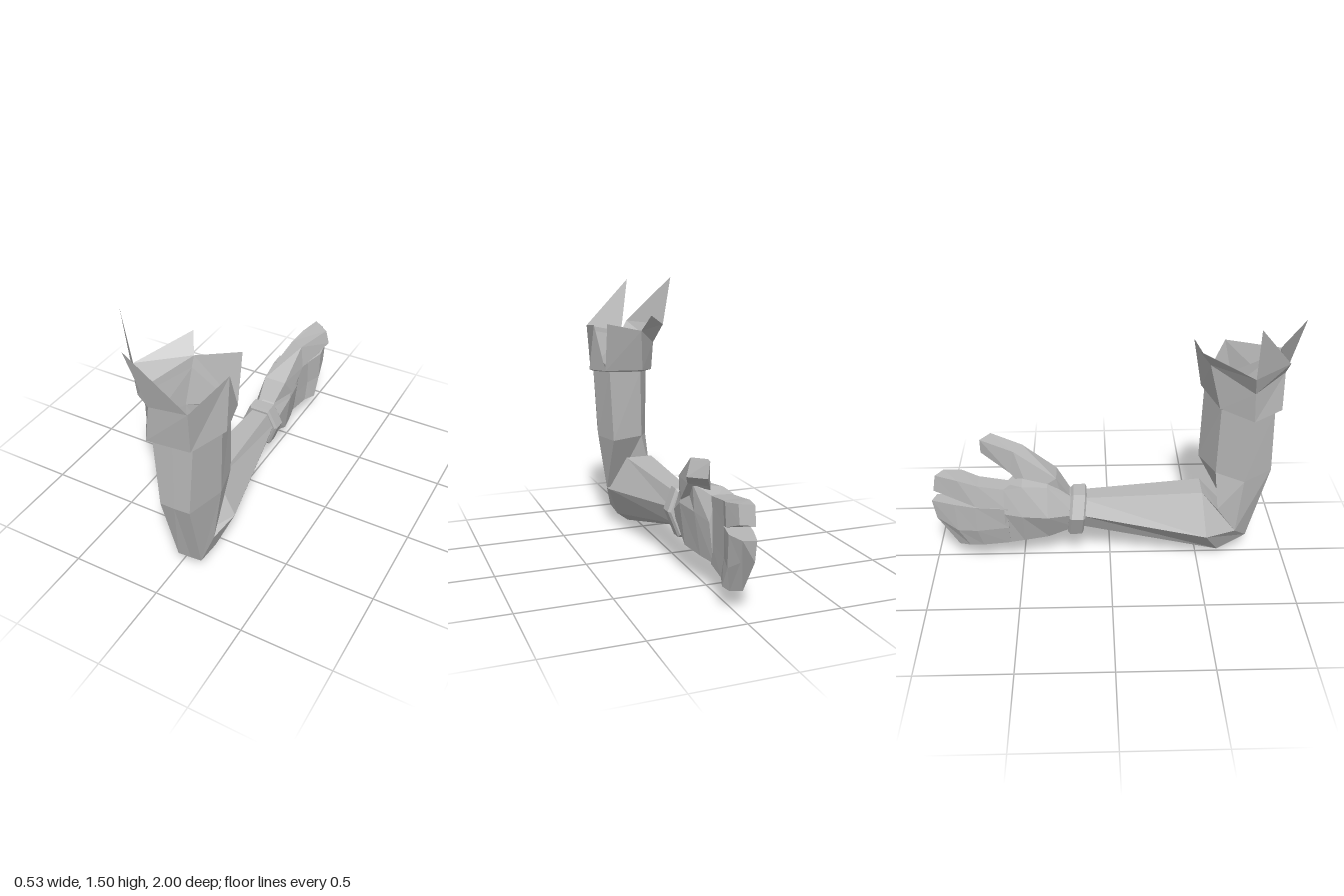
import * as THREE from 'three';

const skin = new THREE.MeshStandardMaterial({ color: 0xb8b8b8, side: THREE.DoubleSide, flatShading: true });
skin.name = 'plain grey';

// Flat-faced mesh from a list of triangles, each three [x, y, z] corners
function facets(name, tris) {
  const g = new THREE.BufferGeometry();
  g.setAttribute('position', new THREE.Float32BufferAttribute(tris.flat(2), 3));
  g.computeVertexNormals();
  const m = new THREE.Mesh(g, skin);
  m.name = name;
  return m;
}

// Skin between matching rings of points, with optional end caps, turned outward
function loft(name, rings, capStart = true, capEnd = true) {
  let tris = [];
  const n = rings[0].length;
  for (let i = 0; i + 1 < rings.length; i++) {
    for (let j = 0; j < n; j++) {
      const k = (j + 1) % n;
      const [a, b, c, d] = [rings[i][j], rings[i][k], rings[i + 1][k], rings[i + 1][j]];
      tris.push([a, b, c], [a, c, d]);
    }
  }
  const first = rings[0], last = rings[rings.length - 1];
  for (let j = 1; j + 1 < n; j++) {
    if (capStart) tris.push([first[0], first[j + 1], first[j]]);
    if (capEnd) tris.push([last[0], last[j], last[j + 1]]);
  }
  const v = (p) => new THREE.Vector3(...p);
  const o = v(first[0]);
  let volume = 0;
  for (const [a, b, c] of tris) volume += v(a).sub(o).dot(v(b).sub(o).cross(v(c).sub(o)));
  if (volume < 0) tris = tris.map(([a, b, c]) => [a, c, b]);
  return facets(name, tris);
}

// Ring of [x, y] points standing at one z
const at = (z, pts) => pts.map(([x, y]) => [x, y, z]);
const scaled = (pts, s, cx, cy) => pts.map(([x, y]) => [cx + (x - cx) * s, cy + (y - cy) * s]);

export function createModel() {
  const group = new THREE.Group();
  group.name = 'arm';

  // Bent arm: shoulder end, biceps, elbow fold, forearm, wrist
  // Ring order: inner left, inner right, right, outer right, outer middle, outer left, left
  const shoulder = [[-0.025, 0.945, 0.6], [0.19, 0.965, 0.53], [0.24, 0.95, 0.7], [0.19, 0.95, 0.885],
    [0.08, 0.945, 0.89], [-0.03, 0.93, 0.89], [-0.11, 0.925, 0.75]];
  group.add(loft('armAndElbow', [
    shoulder,
    [[-0.025, 0.55, 0.59], [0.175, 0.55, 0.515], [0.22, 0.55, 0.69], [0.165, 0.55, 0.9],
      [0.08, 0.55, 0.905], [0.0, 0.55, 0.905], [-0.1, 0.53, 0.74]],
    [[-0.08, 0.34, 0.605], [0.11, 0.22, 0.7], [0.17, 0.21, 0.69], [0.13, 0.08, 0.76],
      [0.07, 0.08, 0.765], [0.01, 0.105, 0.79], [-0.09, 0.2, 0.71]],
    [[-0.06, 0.44, 0.515], [0.095, 0.44, 0.515], [0.205, 0.25, 0.53], [0.13, 0.065, 0.61],
      [0.05, 0, 0.65], [-0.045, 0.045, 0.62], [-0.155, 0.2, 0.54]],
    at(-0.17, [[-0.05, 0.41], [0.045, 0.41], [0.075, 0.33], [0.045, 0.23], [0, 0.215], [-0.04, 0.22], [-0.09, 0.32]]),
  ], false, true));

  // Cuff base, running round the arm
  const base = [[-0.035, 0.955, 0.59], [0.22, 0.975, 0.515], [0.265, 0.96, 0.7],
    [0.2, 0.965, 0.92], [-0.04, 0.945, 0.925], [-0.15, 0.93, 0.76]];
  const [bl, br, r, fr, fl, l] = base;
  const sleeveIn = shoulder.filter((_, i) => i !== 4);
  group.add(loft('cuffHem', [sleeveIn, base], false, false));

  // Torn cuff panels: three or four corners each
  const midL = [-0.16, 1.1, 0.75], midFL = [-0.01, 1.155, 0.93], midBL = [-0.01, 1.2, 0.53];
  const topFR = [0.21, 1.2, 0.945], topL = [-0.22, 1.21, 0.735], topFL = [-0.05, 1.22, 0.945];
  const topR = [0.25, 1.235, 0.64], topBR = [0.22, 1.255, 0.465];
  const panels = [
    [br, bl, midBL, topBR],
    [bl, l, midL, midBL],
    [midBL, midL, topL, [-0.05, 1.295, 0.465]],
    [l, fl, midFL, midL],
    [midL, midFL, topFL, topL],
    [topL, topFL, [-0.27, 1.5, 0.735]],
    [fl, fr, topFR, midFL],
    [midFL, topFR, [-0.075, 1.475, 1.0]],
    [fr, r, topR, topFR],
    [r, br, topR],
  ];
  group.add(facets('tornCuff', panels.flatMap(([a, b, c, d]) => (d ? [[a, b, c], [a, c, d]] : [[a, b, c]]))));

  // Inner lining of the cuff
  const lining = [[-0.005, 1.15, 0.56], [0.2, 1.0, 0.54], [0.235, 1.04, 0.66],
    [0.19, 1.17, 0.91], [-0.01, 1.13, 0.9], [-0.13, 1.09, 0.75]];
  group.add(loft('cuffLining', [sleeveIn, lining], false, false));

  // Wristband with bevelled edges, leaning slightly along the wrist
  const band = [[-0.065, 0.44], [0.055, 0.44], [0.105, 0.32], [0.05, 0.175], [-0.06, 0.175], [-0.12, 0.31]];
  group.add(loft('wristband', [[-0.13, 0.88], [-0.14, 1], [-0.205, 1], [-0.22, 0.88]]
    .map(([z, s]) => scaled(band, s, 0, 0.31).map(([x, y]) => [x, y, z - (0.44 - y) * 0.09]))));

  // Palm: narrow at the wrist, webbed up to the thumb, then the knuckles
  group.add(loft('palm', [
    at(-0.2, [[-0.05, 0.41], [0.04, 0.41], [0.07, 0.32], [0.04, 0.235], [-0.04, 0.21], [-0.085, 0.32]]),
    at(-0.35, [[-0.08, 0.5], [0.06, 0.53], [0.09, 0.41], [0.06, 0.175], [-0.05, 0.155], [-0.13, 0.33]]),
    at(-0.49, [[-0.095, 0.515], [0.075, 0.55], [0.065, 0.4], [0.03, 0.16], [-0.07, 0.145], [-0.13, 0.34]]),
    at(-0.59, [[-0.105, 0.505], [-0.01, 0.49], [0.025, 0.37], [0.0, 0.15], [-0.085, 0.14], [-0.128, 0.36]]),
  ]));

  // Thumb, rising from the palm and bending outward
  group.add(loft('thumb', [
    [[-0.05, 0.42, -0.22], [0.04, 0.42, -0.22], [0.06, 0.34, -0.26], [-0.03, 0.34, -0.26]],
    [[-0.05, 0.54, -0.3], [0.075, 0.54, -0.3], [0.09, 0.44, -0.37], [-0.05, 0.44, -0.45]],
    [[0.01, 0.68, -0.535], [0.085, 0.685, -0.49], [0.1, 0.55, -0.485], [0.01, 0.545, -0.56]],
    [[0.08, 0.72, -0.725], [0.16, 0.72, -0.67], [0.18, 0.64, -0.67], [0.09, 0.635, -0.725]],
  ]));

  // Index finger: cross-sections with the lower edge set apart from the upper one
  const box = (x0, x1, y0, y1, z, zRight = z, x0Top = x0) =>
    [[x0Top, y1, z + 0.015], [x1, y1, zRight + 0.015], [x1, y0, zRight], [x0, y0, z]];
  group.add(loft('indexFinger', [
    box(-0.125, 0.005, 0.36, 0.495, -0.55, -0.55, -0.1),
    box(-0.11, 0.015, 0.4, 0.525, -0.75, -0.75, -0.095),
    box(-0.075, 0.05, 0.43, 0.55, -0.86, -0.85),
    box(-0.04, 0.025, 0.468, 0.565, -0.985, -0.945),
  ]));

  // Remaining fingers held together, with a slanted end; each edge point is [z, y, left x]
  const slab = (x1, zShift, low, mid, top) => [
    ...[top, mid, low].map(([z, y]) => [x1, y, z + zShift]), ...[low, mid, top].map(([z, y, x]) => [x, y, z])];
  group.add(loft('joinedFingers', [
    slab(0.005, 0, [-0.57, 0.142, -0.085], [-0.57, 0.26, -0.112], [-0.57, 0.39, -0.125]),
    slab(0.015, 0, [-0.72, 0.125, -0.08], [-0.75, 0.24, -0.11], [-0.75, 0.397, -0.115]),
    slab(0.045, 0, [-0.8, 0.115, -0.065], [-0.86, 0.23, -0.085], [-0.87, 0.4, -0.085]),
    slab(0.025, 0.02, [-0.865, 0.105, -0.035], [-0.98, 0.29, -0.04], [-1, 0.403, -0.04]),
  ]));

  return group;
}
